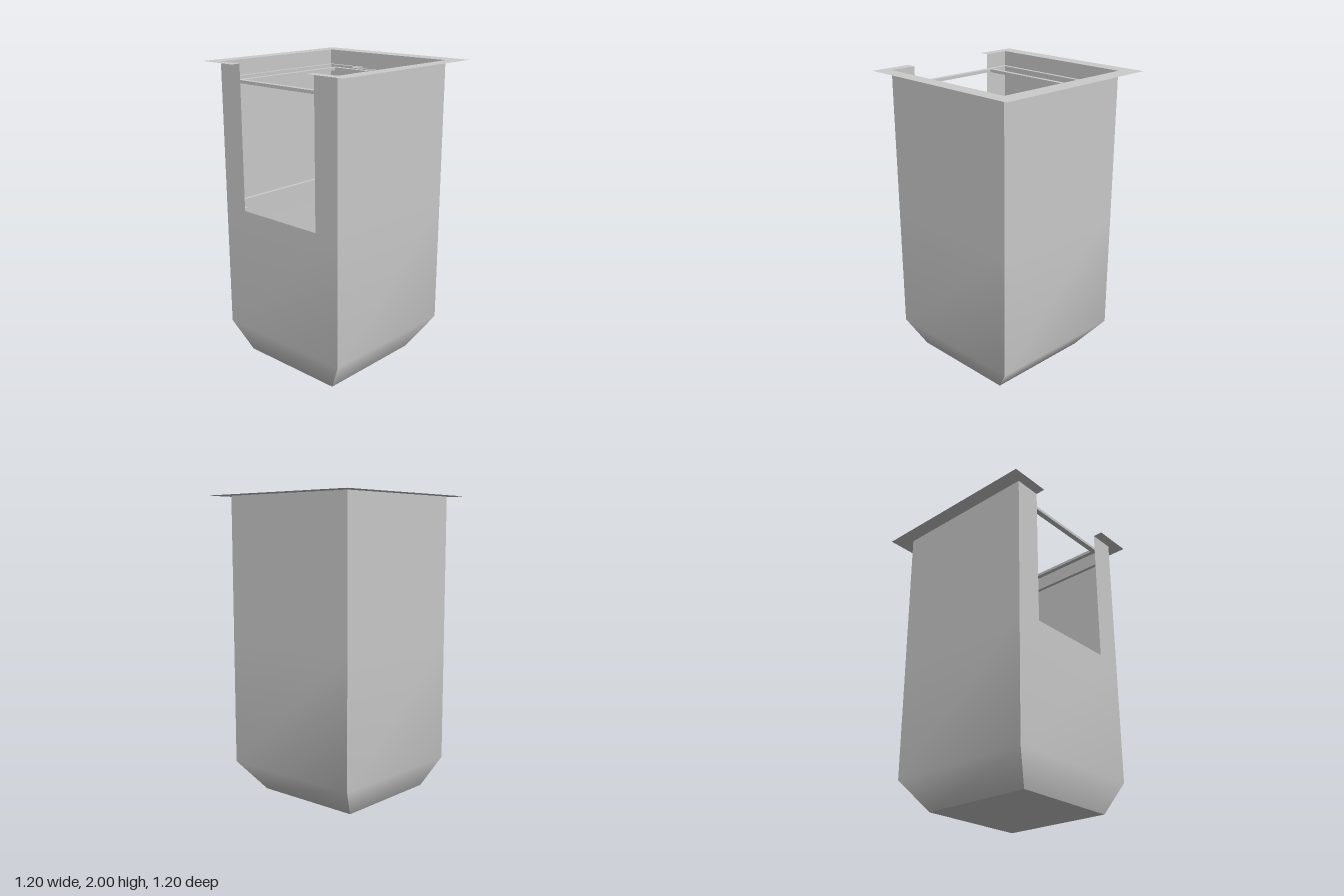
import * as THREE from 'three';

export function createModel() {
  const model = new THREE.Group();
  const solid = new THREE.MeshStandardMaterial({ color: 0xcccccc });
  const sheet = new THREE.MeshStandardMaterial({ color: 0xcccccc, side: THREE.DoubleSide });

  const X = 0.5, BACK = -0.48, FRONT = 0.535;      // bin walls
  const OPEN = 0.32, SILL = 1.05, TOP = 2, KNEE = 0.21; // front opening and taper

  const add = (parent, name, geometry, material) => {
    const mesh = new THREE.Mesh(geometry, material);
    mesh.name = name;
    parent.add(mesh);
    return mesh;
  };
  const group = (name) => {
    const g = new THREE.Group();
    g.name = name;
    model.add(g);
    return g;
  };
  // Box given by its limits on each axis
  const box = (parent, name, x0, x1, y0, y1, z0, z1) =>
    add(parent, name, new THREE.BoxGeometry(x1 - x0, y1 - y0, z1 - z0), solid)
      .position.set((x0 + x1) / 2, (y0 + y1) / 2, (z0 + z1) / 2);

  // Horizontal sections of the shell: corners run anticlockwise from above
  const section = (y, x, z0, z1) => [[-x, y, z1], [x, y, z1], [x, y, z0], [-x, y, z0]];
  const rings = [
    section(0, 0.38, -0.31, 0.455),
    section(KNEE, X, BACK, FRONT),
    section(SILL, X, BACK, FRONT),
    section(TOP, X, BACK, FRONT),
  ];
  // Strip of quads between pairs of points, smooth along its length
  const strip = (rows) => {
    const g = new THREE.BufferGeometry();
    g.setAttribute('position', new THREE.Float32BufferAttribute(rows.flat(2), 3));
    const index = [];
    for (let i = 0; i < rows.length - 1; i++) {
      const a = i * 2;
      index.push(a, a + 1, a + 3, a, a + 3, a + 2);
    }
    g.setIndex(index);
    g.computeVertexNormals();
    return g;
  };

  // Tapered bin walls; the front one stops at the sill
  const shell = group('binShell');
  ['frontWall', 'leftWall', 'backWall', 'rightWall'].forEach((name, s) => {
    const rows = (s === 0 ? rings.slice(0, 3) : rings).map((r) => [r[s], r[(s + 1) % 4]]);
    add(shell, name, strip(rows), sheet);
  });
  const [a, b, c, d] = rings[0];
  add(shell, 'floor', strip([[d, c], [a, b]]), sheet);
  // Front wall on both sides of the opening
  for (const [x0, x1] of [[-X, -OPEN], [OPEN, X]]) {
    add(shell, 'openingSide', strip([SILL, TOP].map((y) => [[x0, y, FRONT], [x1, y, FRONT]])), sheet);
  }

  // Flat rim, notched at the front opening
  const rim = new THREE.Shape([
    [-OPEN, -0.6], [-0.6, -0.6], [-0.6, 0.6], [0.6, 0.6], [0.6, -0.6], [OPEN, -0.6],
    [OPEN, -FRONT], [X, -FRONT], [X, -BACK], [-X, -BACK], [-X, -FRONT], [-OPEN, -FRONT],
  ].map(([x, y]) => new THREE.Vector2(x, y)));
  add(model, 'rim', new THREE.ShapeGeometry(rim).rotateX(-Math.PI / 2).translate(0, TOP, 0), sheet);

  // Narrow ledges around the inside of the walls
  const T = 0.025;
  for (const y of [SILL, 1.88]) {
    const ledge = group('wallLedge');
    for (const s of [-1, 1]) {
      const span = (p, q) => (s > 0 ? [p, q] : [-q, -p]);
      box(ledge, 'sideLedge', ...span(X - T, X), y, y + 0.02, BACK, FRONT);
      box(ledge, 'backLedge', ...span(0.2, X - T), y, y + 0.02, BACK, BACK + T);
      box(ledge, 'frontLedge', ...span(OPEN, X - T), y, y + 0.02, FRONT - T, FRONT);
    }
  }

  // Thin frame across the top of the bin
  const frame = group('topFrame');
  box(frame, 'frameFront', -OPEN, OPEN, 1.88, 1.9, 0.5, FRONT);
  box(frame, 'frameBack', -OPEN, OPEN, 1.88, 1.9, -0.36, -0.325);
  for (const s of [-1, 1]) {
    box(frame, 'frameSide', s * 0.335 - 0.015, s * 0.335 + 0.015, 1.88, 1.9, -0.36, FRONT);
  }

  // Rack on the back wall: a post with four U-shaped brackets
  const rack = group('backRack');
  box(rack, 'post', -0.04, 0.04, SILL, 1.89, BACK, -0.38);
  for (const y of [1.06, 1.329, 1.598, 1.889]) {
    const h = y === 1.06 ? 0.01 : 0.012;
    box(rack, 'bracketBar', -0.23, 0.23, y - h, y + h, -0.415, -0.39);
    for (const s of [-1, 1]) {
      box(rack, 'bracketArm', s * 0.215 - 0.015, s * 0.215 + 0.015, y - h, y + h, BACK, -0.415);
    }
  }
  return model;
}
